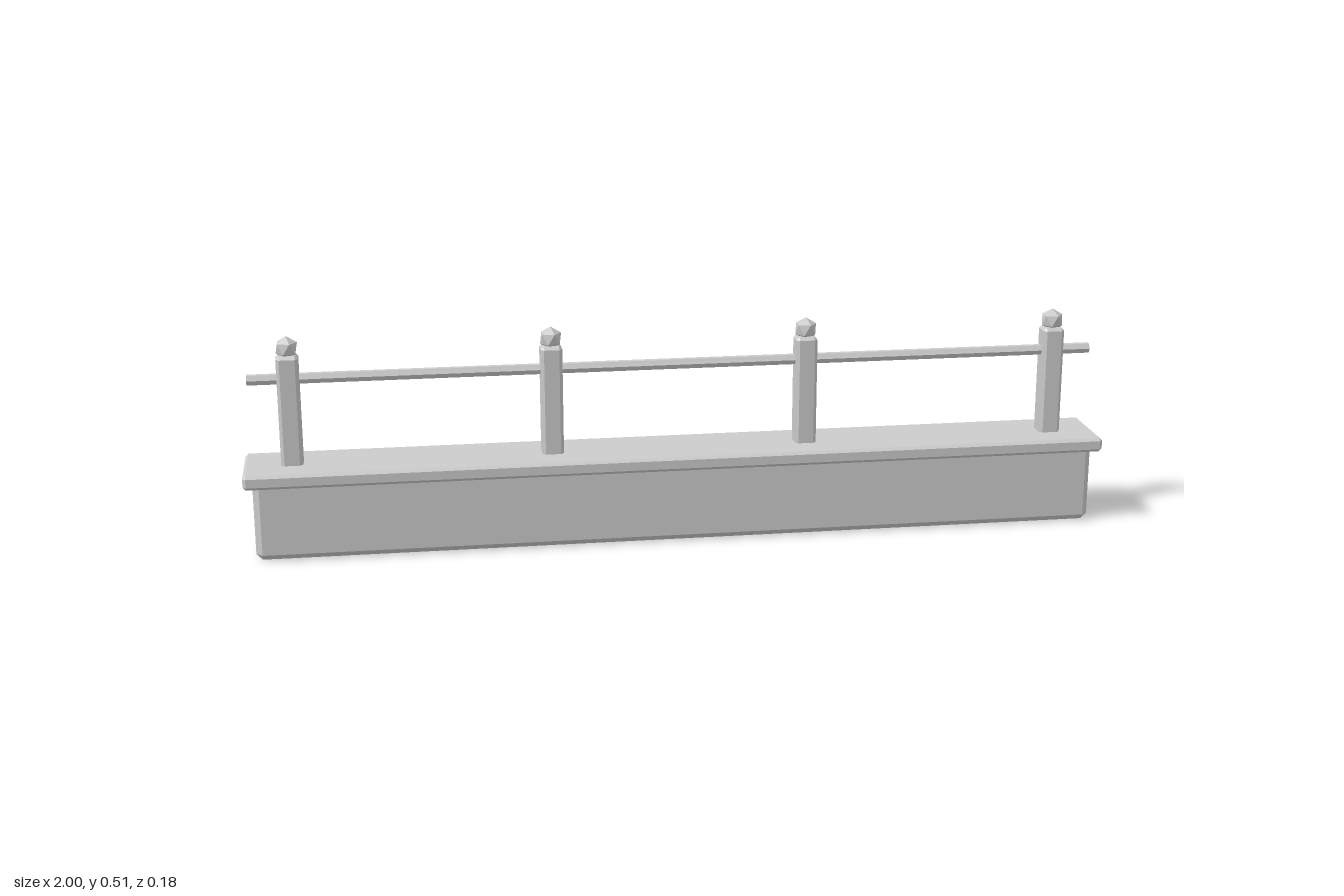
import * as THREE from 'three';
import { ConvexGeometry } from 'three/addons/geometries/ConvexGeometry.js';

const material = new THREE.MeshStandardMaterial({ color: 0xcccccc, flatShading: true });

function part(name, geometry, x, y, z) {
  const mesh = new THREE.Mesh(geometry, material);
  mesh.name = name;
  mesh.position.set(x, y, z);
  return mesh;
}

// Box with every edge cut flat by c and small triangular corners
function chamferedBox(w, h, d, c) {
  const points = [];
  for (const sx of [-1, 1]) for (const sy of [-1, 1]) for (const sz of [-1, 1]) {
    for (let full = 0; full < 3; full++) {
      points.push(new THREE.Vector3(
        sx * (w / 2 - (full === 0 ? 0 : c)),
        sy * (h / 2 - (full === 1 ? 0 : c)),
        sz * (d / 2 - (full === 2 ? 0 : c))
      ));
    }
  }
  return new ConvexGeometry(points);
}

// Icosahedron standing on a vertex: two poles and two staggered rings of five
function uprightIcosahedron(r) {
  const points = [new THREE.Vector3(0, r, 0), new THREE.Vector3(0, -r, 0)];
  const ringRadius = r * 2 / Math.sqrt(5), ringY = r / Math.sqrt(5);
  for (let i = 0; i < 10; i++) {
    const a = i * Math.PI / 5;
    points.push(new THREE.Vector3(
      ringRadius * Math.cos(a), i % 2 ? -ringY : ringY, ringRadius * Math.sin(a)
    ));
  }
  return new ConvexGeometry(points);
}

export function createModel() {
  const model = new THREE.Group();
  model.name = 'railedWall';

  // Wall and its overhanging cap
  model.add(part('wallBody', chamferedBox(1.96, 0.187, 0.148, 0.0143), 0, 0.1025, 0));
  model.add(part('wallCap', chamferedBox(2, 0.034, 0.184, 0.007), 0, 0.201, 0));

  // Four posts with faceted finials, set into the cap
  const postGeometry = chamferedBox(0.05, 0.268, 0.05, 0.0075);
  const finialGeometry = uprightIcosahedron(0.0272);
  for (let i = 0; i < 4; i++) {
    const post = new THREE.Group();
    post.name = 'post' + (i + 1);
    post.position.x = (i - 1.5) * 0.5935;
    post.add(part('postShaft', postGeometry, 0, 0.339, 0));
    post.add(part('finial', finialGeometry, 0, 0.4885, 0));
    model.add(post);
  }

  // Hexagonal rail running through all posts
  const rail = new THREE.CylinderGeometry(0.0128, 0.0128, 1.965, 6);
  rail.rotateZ(Math.PI / 2);
  model.add(part('rail', rail, 0, 0.417, 0));

  return model;
}
